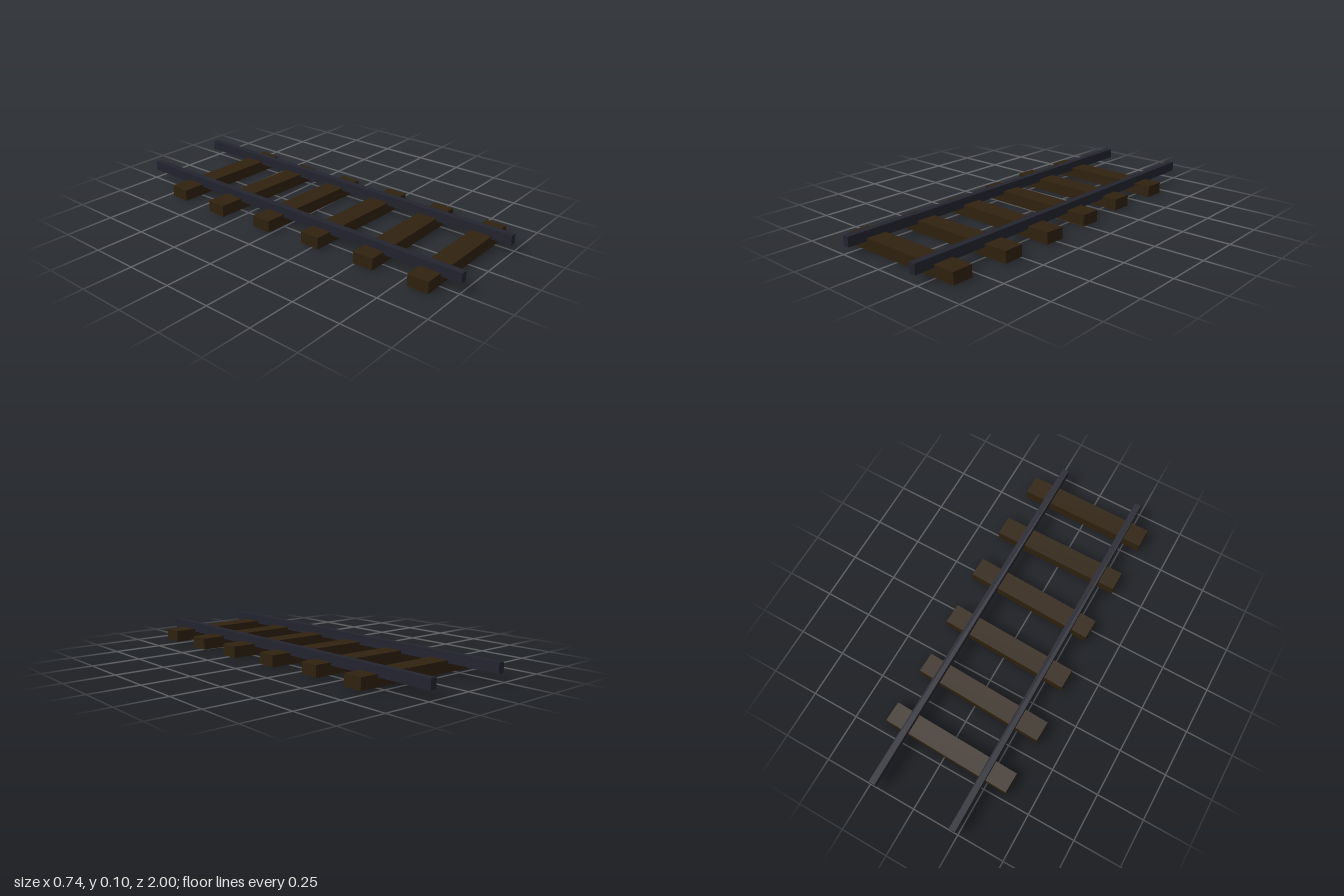
import * as THREE from 'three';

export function createModel() {
  const model = new THREE.Group();
  model.name = 'railTrack';

  const wood = new THREE.MeshStandardMaterial({ color: 0x30220f });
  wood.name = 'darkWood';
  const steel = new THREE.MeshStandardMaterial({ color: 0x242430 });
  steel.name = 'darkSteel';

  // Two straight rails, sunk slightly into the ties
  const railGeometry = new THREE.BoxGeometry(0.034, 0.051, 2);
  for (const side of [-1, 1]) {
    const rail = new THREE.Mesh(railGeometry, steel);
    rail.name = side > 0 ? 'leftRail' : 'rightRail';
    rail.position.set(side * 0.225, 0.0705, 0);
    model.add(rail);
  }

  // Evenly spaced ties, each shifted and turned a little: [x offset, turn]
  const tieGeometry = new THREE.BoxGeometry(0.697, 0.06, 0.107);
  const ties = [
    [-0.01, -0.03], [-0.02, -0.038], [0, -0.036],
    [0.018, -0.036], [0.02, 0.003], [0.01, 0],
  ];
  ties.forEach(([x, turn], i) => {
    const tie = new THREE.Mesh(tieGeometry, wood);
    tie.name = `tie${i + 1}`;
    tie.position.set(x, 0.03, -0.655 + i * 0.3);
    tie.rotation.y = turn;
    model.add(tie);
  });

  return model;
}
